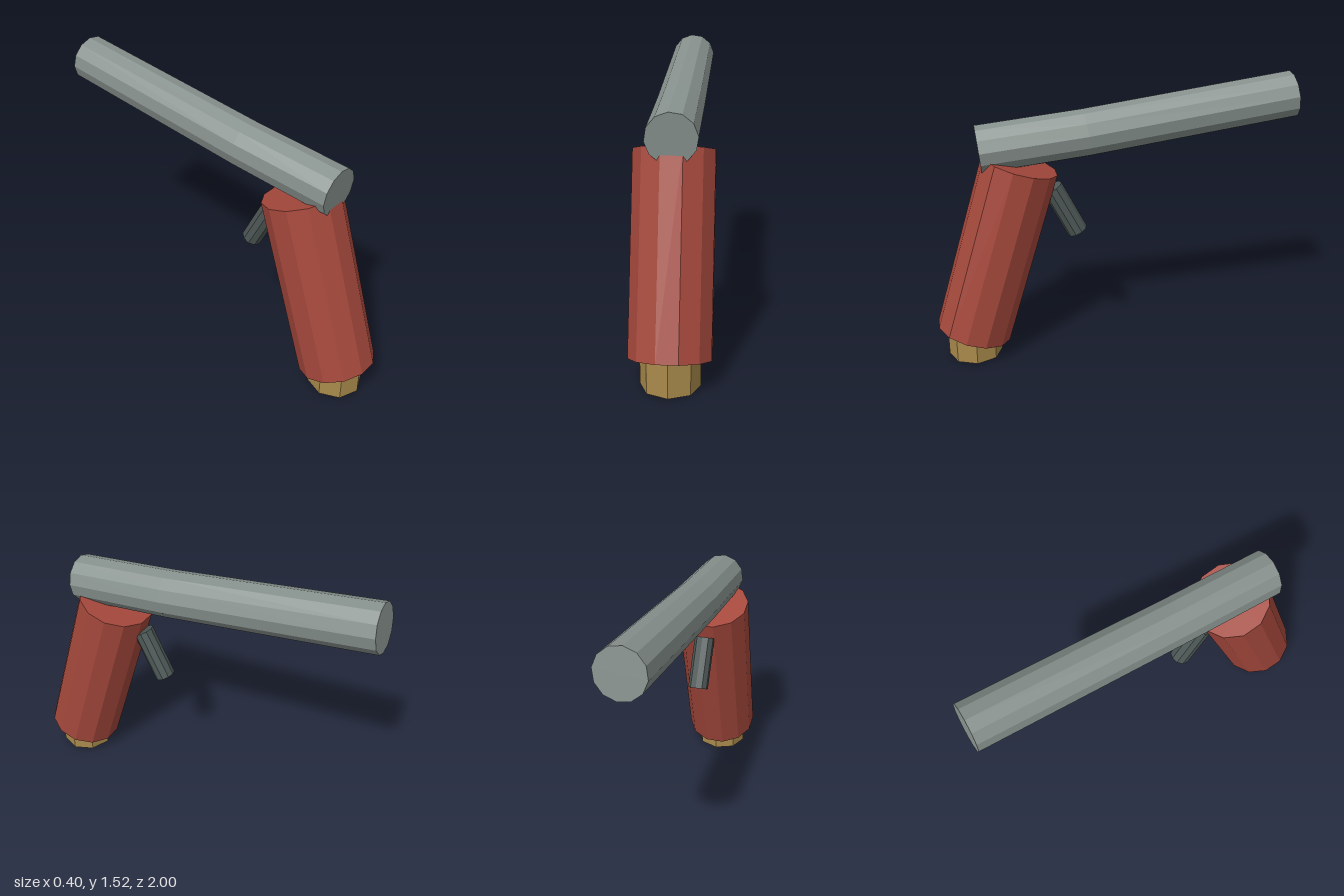
import * as THREE from 'three';

const flat = (name, color) => {
  const m = new THREE.MeshStandardMaterial({ color, flatShading: true });
  m.name = name;
  return m;
};

export function createModel() {
  const group = new THREE.Group();
  const red = flat('gripRed', 0xa5483c);
  const steel = flat('steelGrey', 0x87918d);
  const dark = flat('darkSteel', 0x4d5856);
  const brass = flat('brass', 0xa98a4c);

  // Faceted rod between two [y, z] points in the plane x = 0
  function rod(name, material, radius, sides, [y0, z0], [y1, z1], turn = 0) {
    const dy = y1 - y0, dz = z1 - z0;
    const geo = new THREE.CylinderGeometry(
      radius, radius, Math.hypot(dy, dz), sides, 1, false, turn);
    const mesh = new THREE.Mesh(geo, material);
    mesh.name = name;
    mesh.position.set(0, (y0 + y1) / 2, (z0 + z1) / 2);
    mesh.rotation.x = Math.atan2(dz, dy);
    group.add(mesh);
  }

  // Upright octagonal foot, its top buried in the grip
  rod('foot', brass, 0.148, 8, [0, 0.805], [0.22, 0.805]);
  // Leaning grip
  rod('grip', red, 0.207, 12, [0.137, 0.807], [1.094, 0.512], Math.PI / 12);
  // Barrel in two sections with a slight bend between them
  rod('barrelRear', steel, 0.128, 12, [1.187, 0.725], [1.246, 0.15], -0.096);
  rod('barrelFront', steel, 0.128, 12, [1.245, 0.16], [1.397, -0.984], -0.096);
  // Trigger behind the grip
  rod('trigger', dark, 0.057, 10, [0.952, 0.345], [0.69, 0.211]);

  return group;
}
